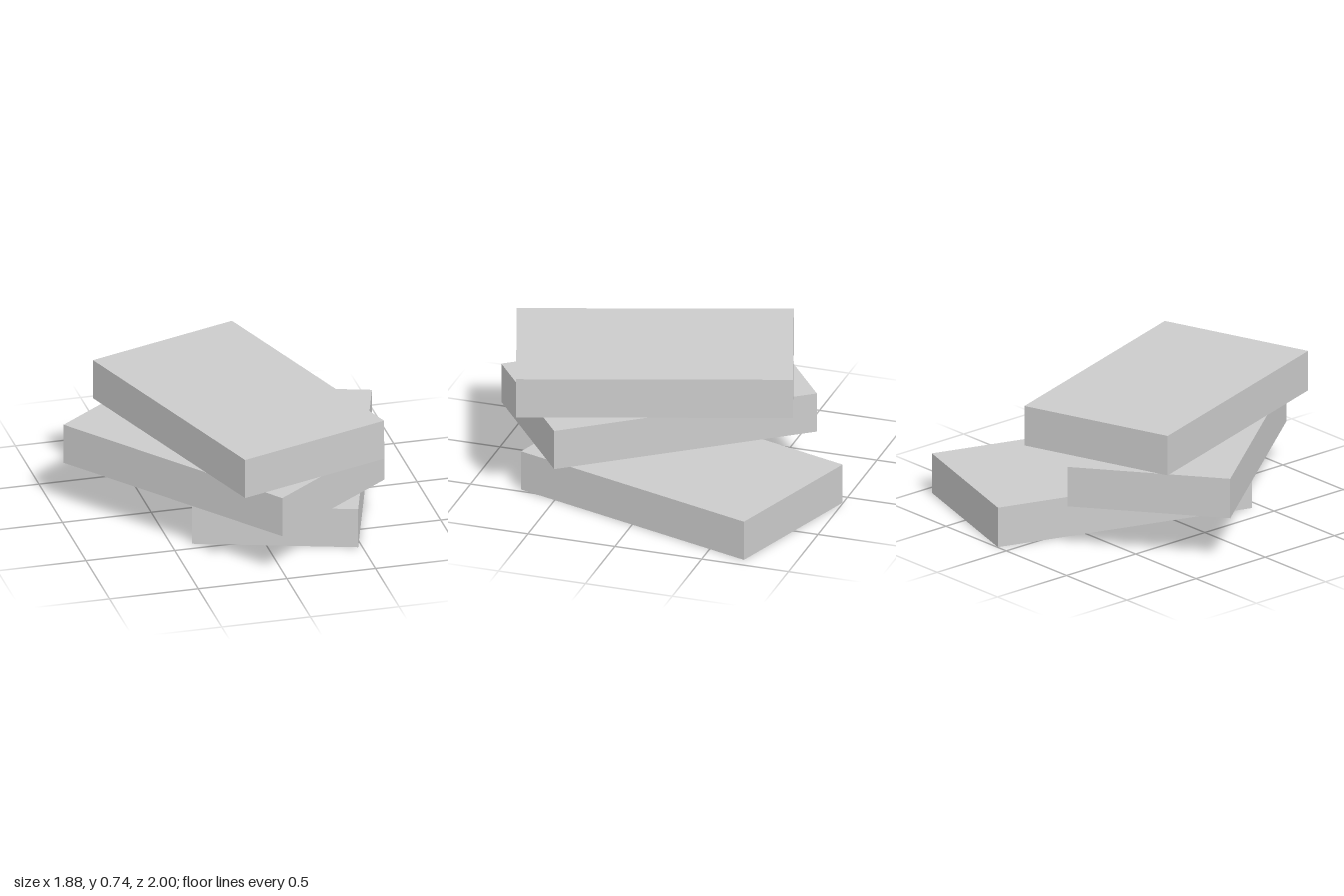
import * as THREE from 'three';

const WIDTH = 0.906, HEIGHT = 0.23, LENGTH = 1.51;

// Three equal slabs, loosely stacked and each turned about the vertical axis
const SLABS = [
  { name: 'bottomSlab', x: 0.275, base: 0, z: -0.14, turn: -0.309 },
  { name: 'middleSlab', x: -0.123, base: 0.26, z: 0.126, turn: 0.65 },
  { name: 'topSlab', x: -0.04, base: 0.506, z: 0.122, turn: 0.322 },
];

export function createModel() {
  const model = new THREE.Group();
  model.name = 'slabStack';

  const lightGrey = new THREE.MeshStandardMaterial({ color: 0xcccccc });
  lightGrey.name = 'lightGrey';
  const slabGeometry = new THREE.BoxGeometry(WIDTH, HEIGHT, LENGTH);

  for (const { name, x, base, z, turn } of SLABS) {
    const slab = new THREE.Mesh(slabGeometry, lightGrey);
    slab.name = name;
    slab.position.set(x, base + HEIGHT / 2, z);
    slab.rotation.y = turn;
    model.add(slab);
  }
  return model;
}
